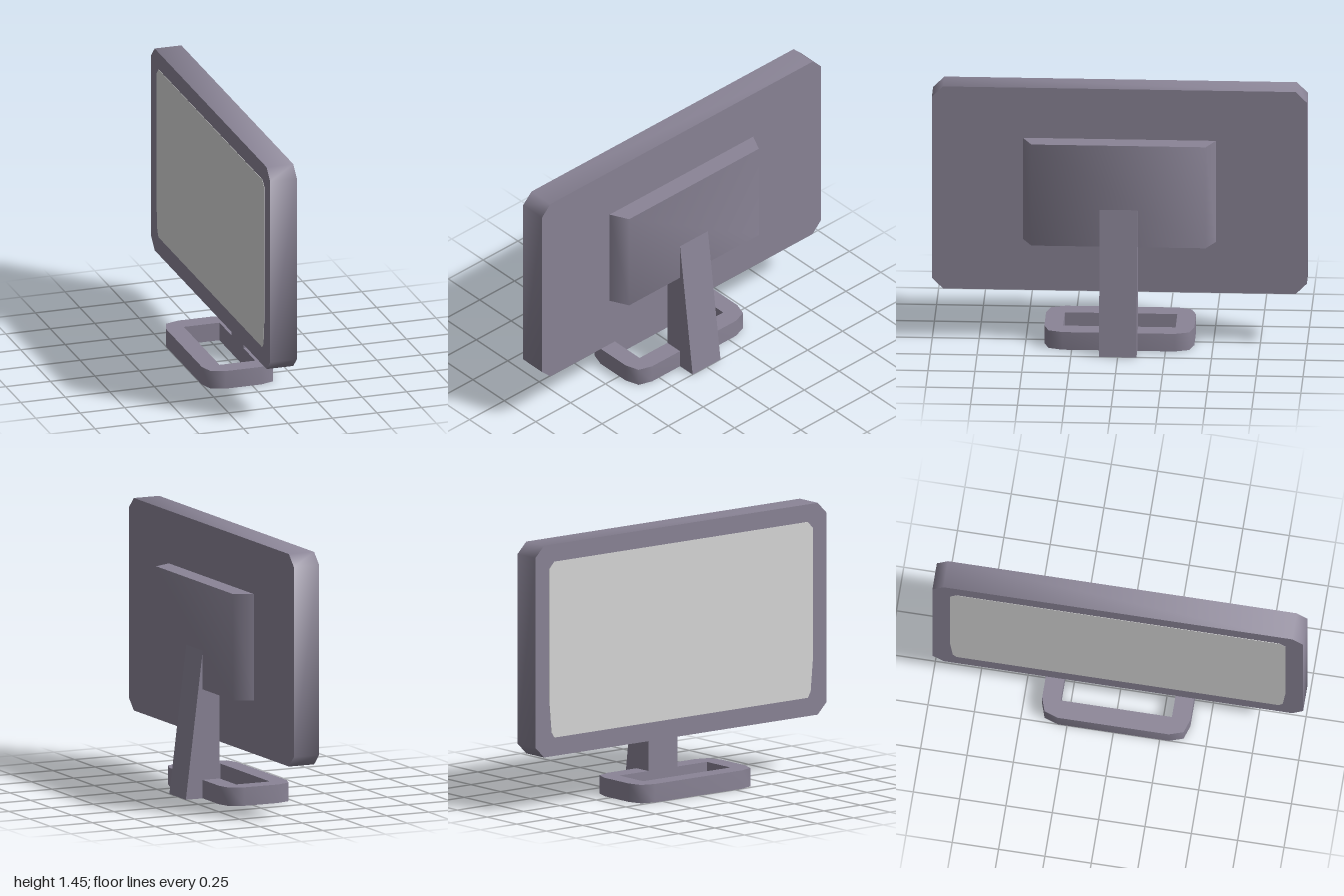
import * as THREE from 'three';
import { toCreasedNormals } from 'three/addons/utils/BufferGeometryUtils.js';

const shapeOf = (points) => new THREE.Shape(points.map(([a, b]) => new THREE.Vector2(a, b)));

// Straight extrusion: gentle corners shade smoothly, right angles stay sharp
function prism(shape, depth) {
  const geometry = new THREE.ExtrudeGeometry(shape, { depth, bevelEnabled: false });
  return toCreasedNormals(geometry, 1.25);
}

export function createModel() {
  const model = new THREE.Group();
  const casing = new THREE.MeshStandardMaterial({ color: 0x8a8496 });
  casing.name = 'purple grey casing';
  const glass = new THREE.MeshStandardMaterial({ color: 0xd8d8d8 });
  glass.name = 'light grey screen';

  function add(name, geometry, material) {
    const mesh = new THREE.Mesh(geometry, material);
    mesh.name = name;
    model.add(mesh);
  }

  // Display panel with clipped corners, facing -x
  const panel = prism(shapeOf([
    [-0.94, 0.30], [0.94, 0.30], [1, 0.36], [1, 1.39],
    [0.94, 1.45], [-0.94, 1.45], [-1, 1.39], [-1, 0.36],
  ]), 0.15);
  panel.rotateY(Math.PI / 2).translate(-0.1, 0, 0);
  add('displayPanel', panel, casing);

  // Thin screen plate on the panel face
  const screen = prism(shapeOf([
    [-0.87, 0.40], [0.87, 0.40], [0.89, 0.43], [0.905, 0.60], [0.905, 1.32],
    [0.87, 1.355], [-0.87, 1.355], [-0.905, 1.32], [-0.905, 0.60], [-0.89, 0.43],
  ]), 0.003);
  screen.rotateY(Math.PI / 2).translate(-0.102, 0, 0);
  add('screen', screen, glass);

  // Tapered housing on the back
  const housing = prism(shapeOf([
    [0.05, -0.515], [0.15, -0.465], [0.15, 0.465], [0.05, 0.515],
  ]), 0.575);
  housing.rotateX(-Math.PI / 2).translate(0, 0.59, 0);
  add('backHousing', housing, casing);

  // Wedge-shaped stand
  const stand = prism(shapeOf([[0.05, 0], [0.25, 0], [0.15, 0.8], [0.05, 0.8]]), 0.2);
  stand.translate(0, 0, -0.1);
  add('stand', stand, casing);

  // Ring base: one rounded corner mirrored into all four quadrants
  const corner = [[0.2, 0.3], [0.175, 0.375], [0.1, 0.4]];
  const outline = [[1, 1], [-1, 1], [-1, -1], [1, -1]].flatMap(([sx, sz]) => {
    const points = corner.map(([x, z]) => [x * sx, z * sz]);
    return sx * sz > 0 ? points : points.reverse();
  });
  const ring = shapeOf(outline);
  ring.holes.push(shapeOf([[-0.1, -0.3], [-0.1, 0.3], [0.1, 0.3], [0.1, -0.3]]));
  const base = prism(ring, 0.1);
  base.rotateX(-Math.PI / 2).translate(-0.05, 0, 0);
  add('ringBase', base, casing);

  return model;
}
